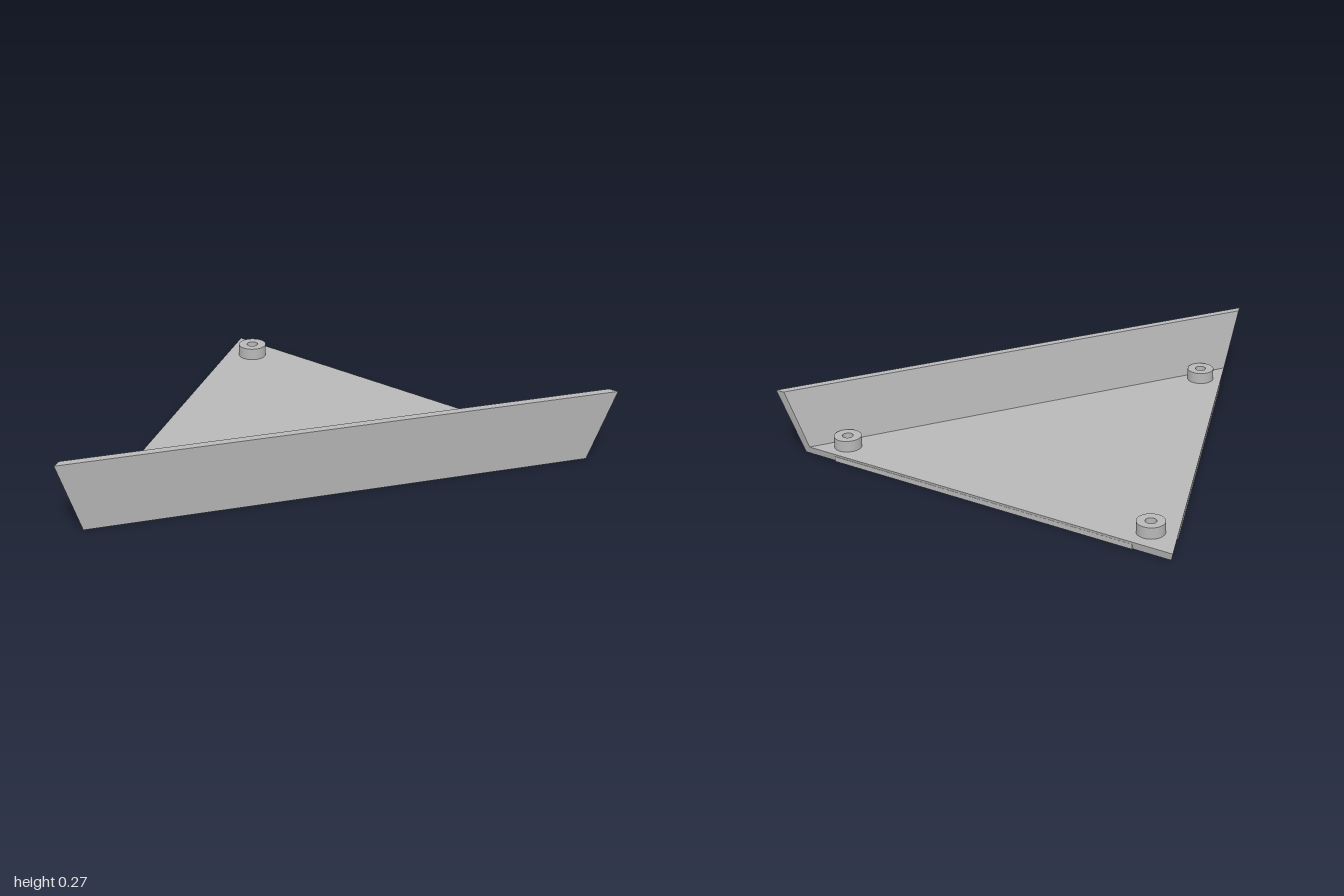
import * as THREE from 'three';
import { ConvexGeometry } from 'three/addons/geometries/ConvexGeometry.js';

export function createModel() {
  const group = new THREE.Group();
  group.name = 'triangularBracket';
  const grey = new THREE.MeshStandardMaterial({ color: 0xb8b8b8 });
  grey.name = 'grey';

  const add = (name, geometry) => {
    const mesh = new THREE.Mesh(geometry, grey);
    mesh.name = name;
    group.add(mesh);
    return mesh;
  };
  const solid = (points) => new ConvexGeometry(points.map((p) => new THREE.Vector3(...p)));
  const mirrored = (points) => points.flatMap(([x, y, z]) => [[x, y, z], [-x, y, z]]);

  // Triangular base with edges that lean outward
  add('basePlate', solid([
    [0, 0, -0.676], [0, 0.03, -0.686],
    ...mirrored([[0.893, 0, 0.63], [0.902, 0.03, 0.63]]),
  ]));

  // Leaning front wall with flared ends
  add('frontWall', solid(mirrored([
    [0.91, 0, 0.656], [0.893, 0, 0.63], [0.902, 0.03, 0.63],
    [0.978, 0.266, 0.658], [1, 0.266, 0.687],
  ])));

  // Narrow upright strips along the two slanted edges
  for (const side of [1, -1]) {
    const section = (z) => {
      const outer = (z + 0.682) * 0.686 + 0.001;
      return [[outer, 0, z], [outer, 0.02, z], [outer - 0.03, 0.02, z], [outer - 0.03, 0, z]]
        .map(([x, y, d]) => [side * x, y, d]);
    };
    add(side > 0 ? 'leftEdgeStrip' : 'rightEdgeStrip', solid([...section(0.53), ...section(-0.55)]));
  }

  // Round standoffs with a centre hole
  const ring = new THREE.Shape().absarc(0, 0, 0.053, 0, Math.PI * 2, false);
  ring.holes.push(new THREE.Path().absarc(0, 0, 0.021, 0, Math.PI * 2, true));
  const standoff = new THREE.ExtrudeGeometry(ring, { depth: 0.046, bevelEnabled: false, curveSegments: 32 });
  standoff.rotateX(-Math.PI / 2);
  const spots = { backStandoff: [0, -0.513], leftStandoff: [0.763, 0.578], rightStandoff: [-0.763, 0.578] };
  for (const [name, [x, z]] of Object.entries(spots)) add(name, standoff).position.set(x, 0.029, z);

  return group;
}
